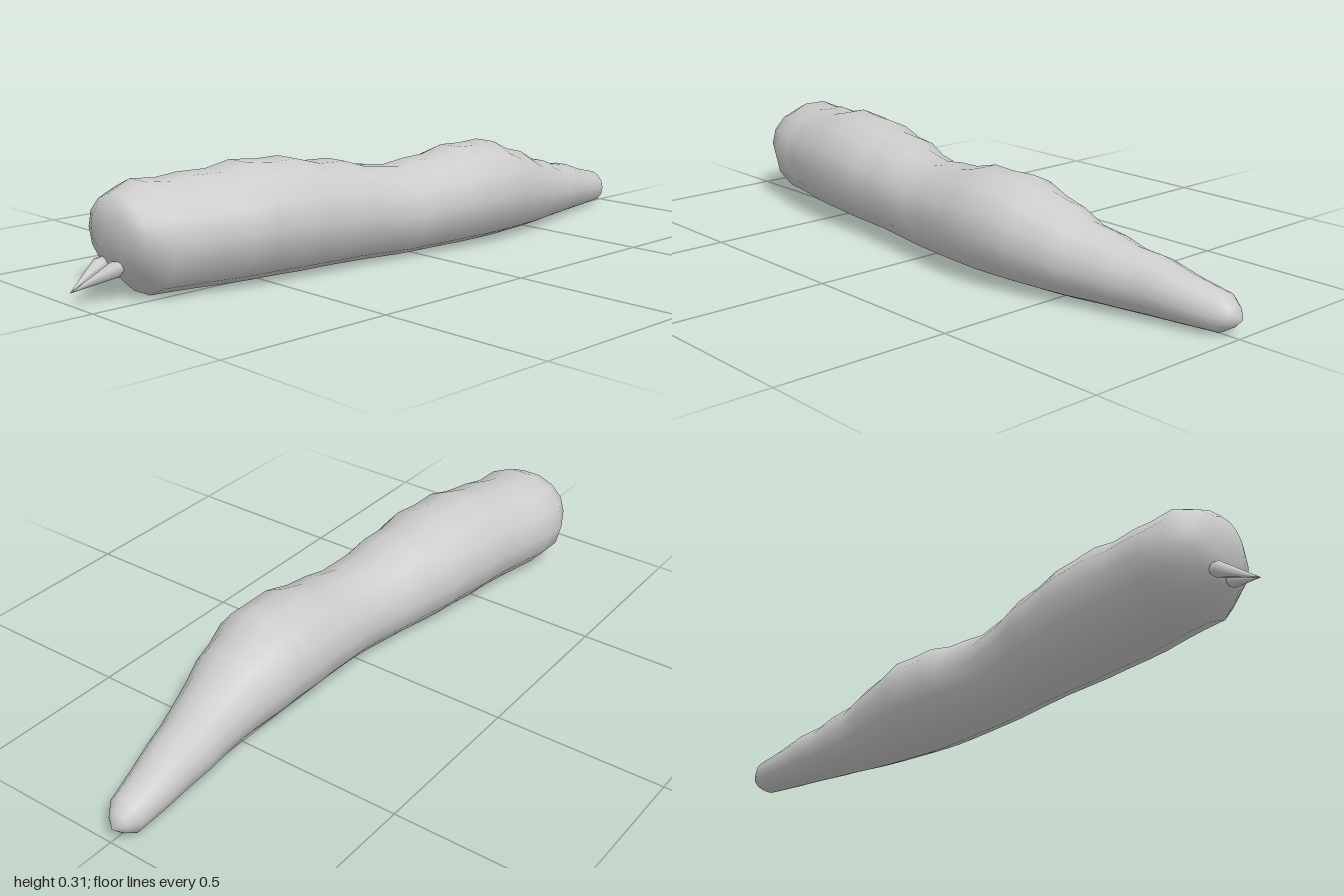
import * as THREE from 'three';

const SIDES = 14;

// Body stations from nose to tail: z, left-most x, right-most x, bottom y, top y
const STATIONS = [
  [0.9, -0.15, 0.0, 0.12, 0.245],
  [0.875, -0.2, 0.055, 0.07, 0.268],
  [0.81, -0.231, 0.09, 0.006, 0.297],
  [0.74, -0.228, 0.1, 0.005, 0.291],
  [0.68, -0.217, 0.115, 0.005, 0.3],
  [0.6, -0.202, 0.137, 0.005, 0.301],
  [0.53, -0.193, 0.152, 0.005, 0.318],
  [0.45, -0.184, 0.16, 0.005, 0.311],
  [0.38, -0.17, 0.17, 0.005, 0.313],
  [0.3, -0.155, 0.17, 0.005, 0.291],
  [0.22, -0.135, 0.173, 0.005, 0.289],
  [0.15, -0.115, 0.178, 0.005, 0.266],
  [0.04, -0.09, 0.19, 0.003, 0.254],
  [-0.03, -0.084, 0.202, 0.004, 0.265],
  [-0.1, -0.084, 0.213, 0.005, 0.268],
  [-0.18, -0.086, 0.226, 0.005, 0.288],
  [-0.25, -0.086, 0.23, 0.005, 0.285],
  [-0.33, -0.083, 0.226, 0.005, 0.288],
  [-0.4, -0.075, 0.208, 0.005, 0.257],
  [-0.47, -0.065, 0.192, 0.005, 0.24],
  [-0.54, -0.055, 0.168, 0.005, 0.206],
  [-0.62, -0.057, 0.14, 0.005, 0.189],
  [-0.68, -0.059, 0.124, 0.005, 0.166],
  [-0.76, -0.06, 0.1, 0.005, 0.157],
  [-0.85, -0.061, 0.076, 0.005, 0.128],
  [-0.945, -0.06, 0.05, 0.006, 0.106],
  [-0.975, -0.04, 0.025, 0.024, 0.082],
];

// Smooth closed skin through the oval stations, with a point at each end
function bodyGeometry() {
  const positions = [];
  const index = [];
  const flat = Math.sin((3 * Math.PI * 2) / SIDES); // height of the flat-topped ring
  for (const [z, x0, x1, y0, y1] of STATIONS) {
    for (let i = 0; i < SIDES; i++) {
      const a = (i / SIDES) * Math.PI * 2;
      positions.push(
        (x0 + x1) / 2 + (Math.cos(a) * (x1 - x0)) / 2,
        (y0 + y1) / 2 + (Math.sin(a) * (y1 - y0)) / 2 / flat,
        z
      );
    }
  }
  const last = (STATIONS.length - 1) * SIDES;
  const nose = last + SIDES;
  positions.push(-0.075, 0.185, 0.905, -0.01, 0.05, -1);
  for (let i = 0; i < SIDES; i++) {
    const j = (i + 1) % SIDES;
    for (let r = 0; r < last; r += SIDES) {
      const a = r + i, b = r + j, c = a + SIDES, d = b + SIDES;
      index.push(a, c, b, b, c, d);
    }
    index.push(nose, i, j, nose + 1, last + j, last + i);
  }
  const g = new THREE.BufferGeometry();
  g.setAttribute('position', new THREE.Float32BufferAttribute(positions, 3));
  g.setIndex(index);
  g.computeVertexNormals();
  return g;
}

// Pointed jaw: a cone with a blunt rounded root, aimed from base to tip
function makeFang(name, base, tip, material) {
  const length = base.distanceTo(tip);
  const profile = [[0, -0.014], [0.014, -0.01], [0.022, 0.008], [0.0, length]];
  const geometry = new THREE.LatheGeometry(
    profile.map(([x, y]) => new THREE.Vector2(x, y)), 8
  );
  const fang = new THREE.Mesh(geometry, material);
  fang.name = name;
  fang.position.copy(base);
  fang.quaternion.setFromUnitVectors(
    new THREE.Vector3(0, 1, 0), tip.clone().sub(base).normalize()
  );
  return fang;
}

export function createModel() {
  const group = new THREE.Group();
  group.name = 'grub';
  const material = new THREE.MeshStandardMaterial({ color: 0xcccccc });

  const body = new THREE.Mesh(bodyGeometry(), material);
  body.name = 'body';
  group.add(body);

  // Two jaws meeting at one point in front of the head
  const tip = new THREE.Vector3(-0.1, 0.034, 1);
  group.add(
    makeFang('rightFang', new THREE.Vector3(-0.121, 0.09, 0.89), tip, material),
    makeFang('leftFang', new THREE.Vector3(-0.051, 0.089, 0.89), tip, material)
  );
  return group;
}
